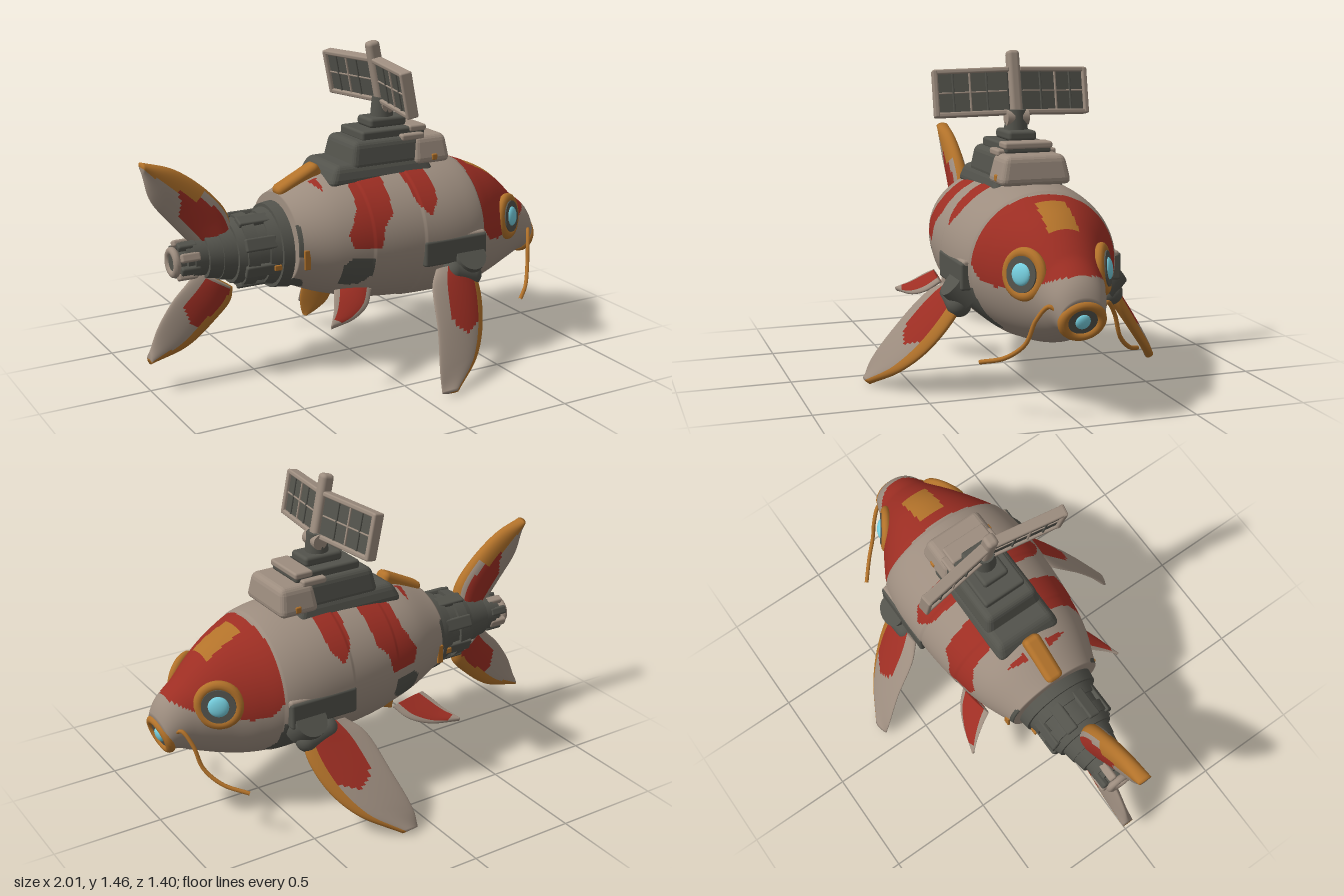
import * as THREE from 'three';
import { RoundedBoxGeometry } from 'three/addons/geometries/RoundedBoxGeometry.js';

const material = (name, color) =>
  Object.assign(new THREE.MeshStandardMaterial({ color }), { name });
const shell = material('shell taupe', 0x9d8d7f);
const red = material('koi red', 0x9d2e23);
const orange = material('trim orange', 0xb2722a);
const dark = material('machine grey', 0x53534c);
const cyan = material('glowing cyan', 0x76cfdf);
const SHELL = 0, RED = 1, ORANGE = 2, DARK = 3;
const paints = [shell, red, orange, dark];
const V = (x, y, z = 0) => new THREE.Vector3(x, y, z);

function add(parent, name, geometry, mat, x = 0, y = 0, z = 0) {
  const mesh = new THREE.Mesh(geometry, mat);
  mesh.name = name;
  mesh.position.set(x, y, z);
  parent.add(mesh);
  return mesh;
}

const box = (parent, name, mat, w, h, d, x, y, z, r = 0.012) =>
  add(parent, name, new RoundedBoxGeometry(w, h, d, 2, Math.min(r, w / 3, h / 3, d / 3)), mat, x, y, z);

// Box whose upper end is narrowed
function taperBox(parent, name, mat, w, h, d, x, y, z, top) {
  const mesh = box(parent, name, mat, w, h, d, x, y, z, 0.03);
  const p = mesh.geometry.attributes.position;
  for (let i = 0; i < p.count; i++) {
    const k = THREE.MathUtils.lerp(1, top, p.getY(i) / h + 0.5);
    p.setXYZ(i, p.getX(i) * k, p.getY(i), p.getZ(i) * k);
  }
  mesh.geometry.computeVertexNormals();
}

// Closed skin over rings point(u, v), capped at both ends, painted cell by cell
function skin(parent, name, nu, nv, point, paint) {
  const pos = [], rows = nu + 3, lists = paints.map(() => []);
  for (let i = 0; i < rows; i++) {
    const u = THREE.MathUtils.clamp((i - 1) / nu, 0, 1);
    const ring = Array.from({ length: nv }, (_, j) => point(u, j / nv));
    if (i === 0 || i === rows - 1) {
      const centre = ring.reduce((s, p) => s.add(p), V(0, 0)).divideScalar(nv);
      ring.forEach((p) => p.copy(centre));
    }
    ring.forEach((p) => pos.push(p));
  }
  let volume = 0;
  for (let i = 0; i < rows - 1; i++) for (let j = 0; j < nv; j++) {
    const k = (j + 1) % nv;
    const [a, b, c, d] = [i * nv + j, i * nv + k, (i + 1) * nv + k, (i + 1) * nv + j];
    const mid = pos[a].clone().add(pos[c]).multiplyScalar(0.5);
    lists[paint(mid, (i - 0.5) / nu, (j + 0.5) / nv)].push([a, b, c], [a, c, d]);
    volume += pos[a].dot(pos[b].clone().cross(pos[c])) + pos[a].dot(pos[c].clone().cross(pos[d]));
  }
  const g = new THREE.BufferGeometry().setFromPoints(pos), index = [];
  lists.forEach((list, m) => {
    if (!list.length) return;
    g.addGroup(index.length, list.length * 3, m);
    list.forEach(([a, b, c]) => index.push(...(volume > 0 ? [a, b, c] : [a, c, b])));
  });
  g.setIndex(index);
  g.computeVertexNormals();
  add(parent, name, g, paints);
}

// Fin with a lens section between a leading and a trailing curve
function fin(parent, name, lead, trail, normal, thick, paint) {
  const a = new THREE.CatmullRomCurve3(lead), b = new THREE.CatmullRomCurve3(trail);
  const n = normal.clone().normalize();
  const chord = (v) => 0.5 - 0.5 * Math.cos(2 * Math.PI * v);
  skin(parent, name, 48, 40, (u, v) => {
    const c = chord(v), t = thick * (1 - 0.45 * u) * (1 - 0.5 * c) * Math.sin(2 * Math.PI * v);
    return a.getPoint(u).lerp(b.getPoint(u), c).addScaledVector(n, t);
  }, (p, u, v) => paint(u, chord(v), v < 0.5));
}

function inside(poly, x, y) {
  let hit = false;
  poly.forEach(([x1, y1], i) => {
    const [x2, y2] = poly[(i + 1) % poly.length];
    if ((y1 > y) !== (y2 > y) && x < x1 + ((y - y1) / (y2 - y1)) * (x2 - x1)) hit = !hit;
  });
  return hit;
}

// Painted areas as side outlines
const redAreas = [
  [[0.57, 1], [0.53, 0.82], [0.53, 0.6], [0.58, 0.54], [0.66, 0.52], [0.8, 0.555], [0.87, 0.57], [0.95, 0.61], [1, 1]],
  [[-0.09, 0.93], [0.07, 0.93], [0.05, 0.74], [0, 0.69], [-0.02, 0.6], [-0.15, 0.61], [-0.17, 0.67], [-0.11, 0.78]],
  [[0.16, 0.93], [0.3, 0.93], [0.29, 0.78], [0.24, 0.71], [0.18, 0.77]],
  [[-0.27, 0.9], [-0.2, 0.9], [-0.22, 0.84]],
];
const darkAreas = [
  [[-0.19, 0.53], [-0.16, 0.56], [-0.05, 0.55], [-0.05, 0.47], [-0.1, 0.42], [-0.19, 0.43]],
  [[-0.38, 0.47], [-0.34, 0.46], [-0.31, 0.41], [-0.32, 0.38], [-0.38, 0.39]],
  [[0.3, 0.5], [0.53, 0.5], [0.54, 0.38], [0.57, 0.32], [0.5, 0.31], [0.4, 0.36]],
  [[-0.38, 0.72], [-0.36, 0.72], [-0.36, 0.58], [-0.38, 0.58]],
];

function buildBody(root) {
  // Stations: x, then top, bottom and half width
  const s = [
    [-0.38, 0.82, 0.41, 0.235], [-0.2, 0.89, 0.335, 0.305], [0, 0.91, 0.285, 0.34], [0.2, 0.915, 0.265, 0.355],
    [0.4, 0.905, 0.26, 0.353], [0.52, 0.885, 0.255, 0.33], [0.62, 0.85, 0.26, 0.28], [0.73, 0.795, 0.285, 0.213],
    [0.84, 0.7, 0.325, 0.155], [0.92, 0.605, 0.355, 0.12], [0.97, 0.52, 0.36, 0.095],
  ];
  const spline = new THREE.CubicInterpolant(s.map((r) => r[0]), s.flatMap((r) => r.slice(1)), 3, new Float32Array(3));
  skin(root, 'body', 200, 160, (u, v) => {
    const x = THREE.MathUtils.lerp(-0.38, 0.97, u), a = 2 * Math.PI * v;
    const [top, bottom, w] = spline.evaluate(x);
    const lip = x < 0.53 && x > 0.2 ? 1.012 : x < -0.05 ? 0.99 : 1;
    const y = (top + bottom) / 2 + ((top - bottom) / 2) * Math.cos(a) * lip;
    // The snout overhangs the mouth
    const overhang = THREE.MathUtils.smoothstep(x, 0.86, 0.97) * (y - 0.42) * 0.3;
    return V(x + overhang, y, w * Math.sin(a) * lip);
  }, ({ x, y, z }) => {
    if (x > 0.6 && x < 0.77 && Math.abs(z) < 0.068 && y > 0.7) return ORANGE;
    if (darkAreas.some((p) => inside(p, x, y))) return DARK;
    if (redAreas.some((p, i) => (i === 0 || Math.abs(z) > 0.06) && inside(p, x, y))) return RED;
    return SHELL;
  });
  box(root, 'dorsalRidge', orange, 0.23, 0.08, 0.085, -0.268, 0.858, 0, 0.025).rotation.z = 0.46;
}

function buildTail(root) {
  const tail = new THREE.Group();
  tail.name = 'tail';
  root.add(tail);
  // Stacked rings: front x, rear x, front radius, rear radius
  [[-0.36, -0.43, 0.2, 0.19], [-0.43, -0.48, 0.175, 0.165], [-0.48, -0.53, 0.155, 0.15], [-0.53, -0.585, 0.165, 0.16],
    [-0.585, -0.62, 0.15, 0.14], [-0.62, -0.68, 0.125, 0.115], [-0.68, -0.74, 0.11, 0.1], [-0.74, -0.8, 0.085, 0.085],
    [-0.8, -0.83, 0.075, 0.075]].forEach(([f, r, rf, rr]) => {
    add(tail, 'tailRing', new THREE.CylinderGeometry(rr, rf, f - r, 32), dark, (f + r) / 2, 0.585, 0).rotation.z = Math.PI / 2;
  });
  const nozzle = add(tail, 'nozzle', new THREE.TorusGeometry(0.052, 0.017, 10, 28), shell, -0.875, 0.575, 0);
  nozzle.rotation.y = Math.PI / 2;
  add(tail, 'nozzleCore', new THREE.CylinderGeometry(0.045, 0.055, 0.06, 24), dark, -0.85, 0.575, 0).rotation.z = Math.PI / 2;
  for (let i = 0; i < 8; i++) {
    const a = (i + 0.5) * Math.PI / 4;
    const block = box(tail, 'nozzleBlock', i % 2 ? shell : dark, 0.09, 0.03, 0.04, -0.82, 0.58 + 0.075 * Math.cos(a), 0.075 * Math.sin(a));
    block.rotation.x = a;
    const clamp = box(tail, 'tailClamp', dark, 0.15, 0.025, 0.06, -0.52, 0.585 + 0.157 * Math.cos(a), 0.157 * Math.sin(a));
    clamp.rotation.x = a;
  }
  for (const side of [1, -1]) {
    box(tail, 'tailMark', orange, 0.03, 0.09, 0.012, -0.345, 0.57, side * 0.244);
    box(tail, 'tailMark', orange, 0.035, 0.025, 0.012, -0.45, 0.53, side * 0.168);
  }
  const z = V(0, 0, 1);
  const middle = (u, c) => u > 0.05 && u < 0.78 - 0.35 * c && c > 0.12 + 0.15 * u && c < 0.8;
  fin(tail, 'upperTailFin', [V(-0.6, 0.7), V(-0.625, 0.78), V(-0.72, 0.89), V(-0.86, 0.99), V(-1, 1.035)],
    [V(-0.76, 0.62), V(-0.82, 0.68), V(-0.88, 0.75), V(-0.968, 0.865), V(-1, 0.99)], z, 0.072,
    (u, c) => (c < (u > 0.5 ? 0.16 + 0.35 * u : 0.05) ? ORANGE : middle(u, c) ? RED : SHELL));
  fin(tail, 'lowerTailFin', [V(-0.6, 0.42), V(-0.61, 0.36), V(-0.68, 0.285), V(-0.82, 0.18), V(-1, 0.13)],
    [V(-0.76, 0.52), V(-0.82, 0.46), V(-0.88, 0.4), V(-0.957, 0.285), V(-1, 0.175)], z, 0.065,
    (u, c) => (c < 0.14 + 0.2 * u ? ORANGE : middle(u, c) && u < 0.6 ? RED : SHELL));
}

function buildSideParts(root, side) {
  // Pectoral fin slopes down and out, its trailing edge lifted
  const slope = (list) => list.map(([x, s, lift]) =>
    V(x, 0.45 - 0.78 * s + 0.62 * lift, side * (0.34 + 0.62 * s + 0.78 * lift)));
  fin(root, 'pectoralFin',
    slope([[0.45, 0, -0.01], [0.468, 0.1, -0.025], [0.425, 0.27, -0.035], [0.33, 0.42, -0.025], [0.16, 0.56, 0]]),
    slope([[0.25, 0, 0.02], [0.19, 0.08, 0.04], [0.135, 0.29, 0.045], [0.085, 0.48, 0.025], [0.08, 0.555, 0]]),
    V(0, 0.62, side * 0.78), 0.045,
    (u, c, upper) => (c < (upper ? 0.15 : 0.35) ? ORANGE : u < 0.57 - 0.35 * Math.abs(c - 0.4) && c < 0.7 ? RED : SHELL));
  fin(root, 'pelvicFin',
    [V(-0.05, 0.4, side * 0.29), V(-0.1, 0.35, side * 0.345), V(-0.19, 0.318, side * 0.39), V(-0.325, 0.31, side * 0.43)],
    [V(-0.23, 0.42, side * 0.27), V(-0.25, 0.4, side * 0.31), V(-0.285, 0.36, side * 0.37), V(-0.33, 0.325, side * 0.43)],
    V(0, 0.75, side * 0.65), 0.022, (u, c) => (c > 0.15 && c < 0.85 && u < 0.85 ? RED : SHELL));

  // Shoulder machinery
  box(root, 'shoulderPanel', dark, 0.33, 0.12, 0.05, 0.355, 0.54, side * 0.34);
  box(root, 'shoulderTrim', shell, 0.12, 0.04, 0.04, 0.46, 0.59, side * 0.335);
  add(root, 'shoulderJoint', new THREE.CylinderGeometry(0.075, 0.09, 0.1, 24), dark, 0.43, 0.48, side * 0.335).rotation.x = side * 0.9;
  add(root, 'finSocket', new THREE.CapsuleGeometry(0.055, 0.1, 6, 16), dark, 0.39, 0.42, side * 0.35).rotation.z = 1.3;

  // Eye set into the head
  const eye = new THREE.Group();
  eye.name = 'eye';
  eye.position.set(0.77, 0.592, side * 0.172);
  eye.lookAt(0.77 + 0.53, 0.592 + 0.12, side * (0.172 + 0.84));
  root.add(eye);
  add(eye, 'eyeRim', new THREE.TorusGeometry(0.087, 0.024, 12, 40), orange).scale.z = 0.9;
  add(eye, 'eyeSocket', new THREE.CylinderGeometry(0.075, 0.08, 0.05, 32), dark).rotation.x = Math.PI / 2;
  add(eye, 'eyeLens', new THREE.SphereGeometry(0.047, 24, 16), cyan, 0, 0, 0.022).scale.z = 0.4;

  // Barbel
  const path = new THREE.CatmullRomCurve3([V(0.955, 0.46, side * 0.085), V(0.93, 0.49, side * 0.125),
    V(0.9, 0.43, side * 0.17), V(0.875, 0.33, side * 0.205), V(0.82, 0.265, side * 0.27), V(0.73, 0.23, side * 0.35)]);
  add(root, 'barbel', new THREE.TubeGeometry(path, 40, 0.0095, 8), orange);
}

function buildMouth(root) {
  const mouth = new THREE.Group();
  mouth.name = 'mouth';
  mouth.position.set(0.97, 0.432, 0);
  mouth.lookAt(1.97, 0.132, 0);
  root.add(mouth);
  add(mouth, 'lips', new THREE.TorusGeometry(0.082, 0.022, 12, 40), orange).scale.y = 0.85;
  add(mouth, 'throat', new THREE.CylinderGeometry(0.066, 0.07, 0.02, 28), dark).rotation.x = Math.PI / 2;
  add(mouth, 'mouthLight', new THREE.SphereGeometry(0.033, 20, 14), cyan, 0, 0, 0.008).scale.z = 0.5;
}

function buildMast(root) {
  // Stepped saddle and turret
  taperBox(root, 'saddleSkirt', dark, 0.56, 0.09, 0.34, 0.09, 0.895, 0, 0.84);
  taperBox(root, 'saddle', dark, 0.39, 0.13, 0.3, 0.125, 0.97, 0, 0.86);
  taperBox(root, 'saddleNose', shell, 0.2, 0.13, 0.33, 0.35, 0.965, 0, 0.82);
  for (const side of [1, -1]) {
    box(root, 'saddleMark', orange, 0.03, 0.03, 0.02, 0.36, 0.93, side * 0.152);
    box(root, 'saddleRail', shell, 0.12, 0.03, 0.04, 0.26, 1.03, side * 0.115);
  }
  box(root, 'deck', dark, 0.33, 0.045, 0.21, 0.175, 1.05, 0);
  box(root, 'deckTrim', shell, 0.09, 0.03, 0.22, 0.3, 1.062, 0);
  box(root, 'turretBase', dark, 0.19, 0.045, 0.13, 0.17, 1.095, 0, 0.02);
  add(root, 'neck', new THREE.CylinderGeometry(0.045, 0.055, 0.11, 20), dark, 0.17, 1.15, 0);
  add(root, 'neckHinge', new THREE.CylinderGeometry(0.035, 0.035, 0.1, 20), shell, 0.18, 1.17, 0).rotation.x = Math.PI / 2;

  // Tilted pair of panels on a spine
  const mast = new THREE.Group();
  mast.name = 'panelMast';
  mast.position.set(0.15, 1.285, 0);
  mast.rotation.z = 0.2;
  root.add(mast);
  box(mast, 'spine', shell, 0.06, 0.35, 0.055, 0, 0.005, 0, 0.02);
  for (const side of [1, -1]) {
    const wing = new THREE.Group();
    wing.name = 'solarPanel';
    wing.rotation.y = -side * 0.15;
    mast.add(wing);
    box(wing, 'panelSheet', dark, 0.024, 0.19, 0.33, 0, 0, side * 0.19);
    for (const y of [-0.095, 0.095]) box(wing, 'panelFrame', shell, 0.05, 0.022, 0.34, 0, y, side * 0.19);
    box(wing, 'panelEnd', shell, 0.055, 0.21, 0.024, 0, 0, side * 0.352);
    for (let i = 0; i < 3; i++) box(wing, 'panelRib', i === 1 ? shell : dark, 0.038, 0.19, 0.009, 0, 0, side * (0.125 + i * 0.075));
    box(wing, 'panelRib', shell, 0.034, 0.007, 0.31, 0, 0, side * 0.19);
  }
}

export function createModel() {
  const root = new THREE.Group();
  root.name = 'mechanicalFish';
  buildBody(root);
  buildTail(root);
  for (const side of [1, -1]) buildSideParts(root, side);
  fin(root, 'bellyFin', [V(-0.09, 0.33), V(-0.12, 0.275), V(-0.18, 0.235), V(-0.23, 0.215)],
    [V(-0.25, 0.37), V(-0.26, 0.3), V(-0.255, 0.25), V(-0.245, 0.22)], V(0, 0, 1), 0.03, () => ORANGE);
  buildMouth(root);
  buildMast(root);
  return root;
}
